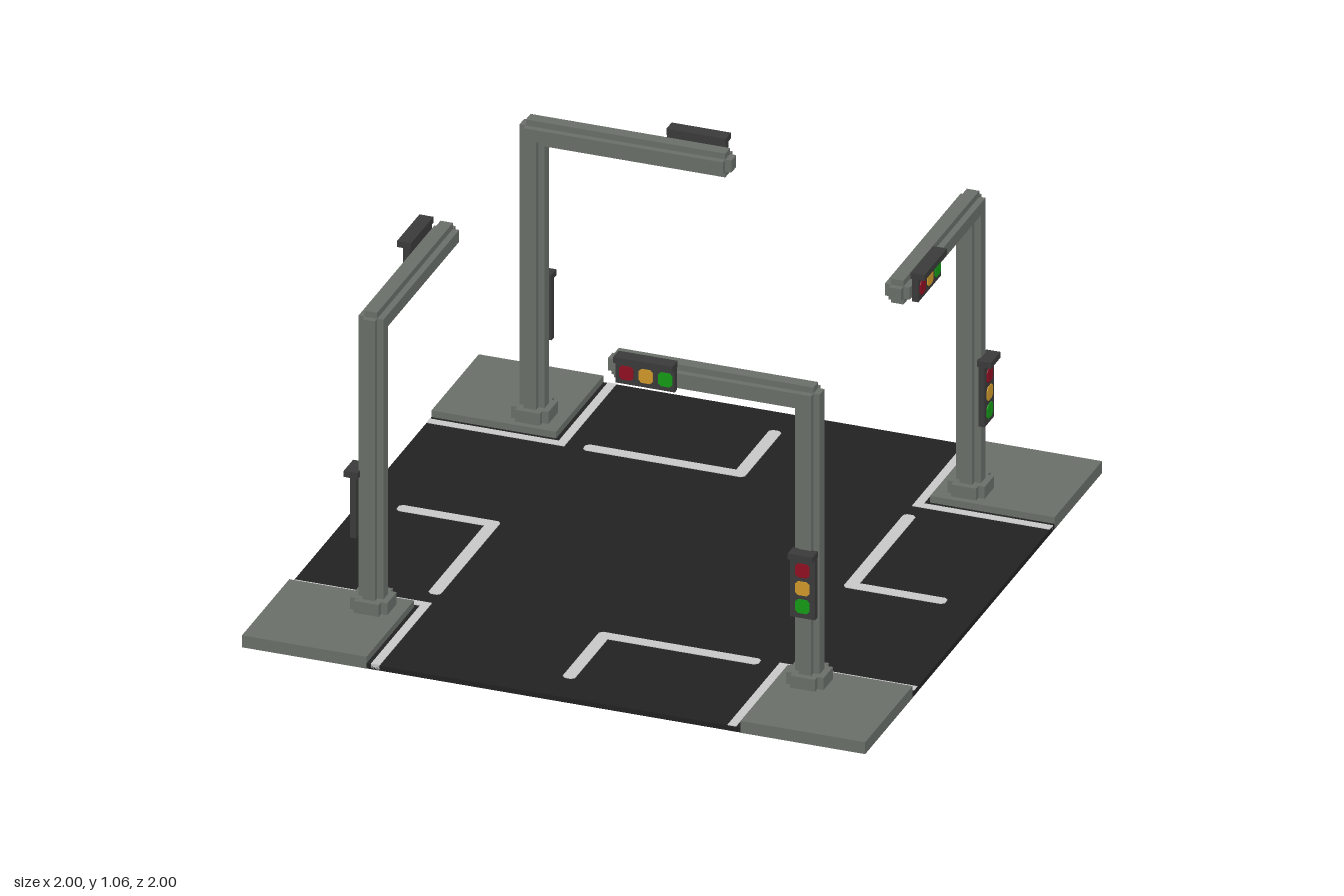
import * as THREE from 'three';

const mat = (name, color) => Object.assign(new THREE.MeshStandardMaterial({ color }), { name });

export function createModel() {
  const asphalt = mat('asphalt', 0x222222);
  const paint = mat('road paint', 0xc8c8c8);
  const stone = mat('grey stone and steel', 0x696f69);
  const dark = mat('dark housing', 0x393a39);
  const lampMats = [mat('red lamp', 0x900f22), mat('amber lamp', 0xd0992a), mat('green lamp', 0x149a16)];

  const model = new THREE.Group();
  model.name = 'crossroads';

  const add = (parent, name, geometry, material) => {
    const mesh = new THREE.Mesh(geometry, material);
    mesh.name = name;
    parent.add(mesh);
    return mesh;
  };
  // Box given by its lower and upper corners
  const box = (parent, name, material, a, b) => {
    const mesh = add(parent, name, new THREE.BoxGeometry(b[0] - a[0], b[1] - a[1], b[2] - a[2]), material);
    mesh.position.set((a[0] + b[0]) / 2, (a[1] + b[1]) / 2, (a[2] + b[2]) / 2);
    return mesh;
  };
  const outline = (points) => new THREE.Shape(points.map(([x, y]) => new THREE.Vector2(x, y)));
  const extrude = (shape, depth) => new THREE.ExtrudeGeometry(shape, { depth, bevelEnabled: false });
  // Flat slab from an outline in x and z, rising from y0 to y1
  const slab = (points, y0, y1) =>
    extrude(outline(points.map(([x, z]) => [x, -z])), y1 - y0).rotateX(-Math.PI / 2).translate(0, y0, 0);
  // Square with a step cut from each corner
  const stepped = (half, step) => {
    const i = half - step;
    return outline([
      [-i, -half], [i, -half], [i, -i], [half, -i], [half, i], [i, i],
      [i, half], [-i, half], [-i, i], [-half, i], [-half, -i], [-i, -i],
    ]);
  };

  // Road surface in the shape of a cross
  const e = 0.6;
  add(model, 'road', slab([
    [-e, -1], [e, -1], [e, -e], [1, -e], [1, e], [e, e],
    [e, 1], [-e, 1], [-e, e], [-1, e], [-1, -e], [-e, -e],
  ], 0.001, 0.018), asphalt);

  // Small rounded square lens
  const lens = () => {
    const h = 0.023, c = 0.009;
    return extrude(outline([
      [-h + c, -h], [h - c, -h], [h, -h + c], [h, h - c],
      [h - c, h], [-h + c, h], [-h, h - c], [-h, -h + c],
    ]), 0.004);
  };
  // Three lamps along a row, facing +z
  const lamps = (parent, at) => lampMats.forEach((m, i) => {
    const [x, y] = at(i);
    add(parent, 'lamp', lens(), m).position.set(x, y, 0.059);
  });

  const corners = [[1, 1], [-1, 1], [-1, -1], [1, -1]];
  corners.forEach(([sx, sz], k) => {
    // Ground parts of this quarter
    const quarter = new THREE.Group();
    quarter.name = 'roadQuarter';
    quarter.rotation.y = -k * Math.PI / 2;
    model.add(quarter);
    box(quarter, 'pavement', stone, [0.6, 0, 0.6], [1, 0.04, 1]);
    add(quarter, 'edgeLine', slab([
      [0.558, 0.558], [1, 0.558], [1, 0.586], [0.586, 0.586], [0.586, 1], [0.558, 1],
    ], 0, 0.02), paint);
    add(quarter, 'stopLine', slab([
      [-0.02, 0.565], [-0.01, 0.555], [0.49, 0.555], [0.5, 0.565], [0.5, 0.585], [0.49, 0.595],
      [0.02, 0.595], [0.02, 0.87], [0.01, 0.88], [-0.01, 0.88], [-0.02, 0.87],
    ], 0, 0.02), paint);

    // Signal mast: arm along -x, lamps towards +z
    const mast = new THREE.Group();
    mast.name = 'signalMast';
    mast.position.set(sx * 0.7, 0, sz * 0.68);
    mast.rotation.y = -k * Math.PI / 2;
    model.add(mast);
    const upright = (half, y0, y1) => extrude(stepped(half, 0.02), y1 - y0).rotateX(-Math.PI / 2).translate(0, y0, 0);
    add(mast, 'mastBase', upright(0.06, 0.04, 0.08), stone);
    add(mast, 'pole', upright(0.04, 0.08, 1.02), stone);
    add(mast, 'arm', extrude(stepped(0.04, 0.02), 0.64).rotateY(Math.PI / 2).translate(-0.62, 1, 0), stone);
    box(mast, 'armTip', stone, [-0.64, 0.98, -0.02], [-0.62, 1.02, 0.02]);

    // Upper signal, lying along the arm
    box(mast, 'armSignalHousing', dark, [-0.6, 0.965, 0.04], [-0.41, 1.045, 0.06]);
    box(mast, 'armSignalVisor', dark, [-0.6, 1.04, 0.035], [-0.41, 1.06, 0.08]);
    lamps(mast, (i) => [-0.565 + i * 0.0625, 1.003]);

    // Lower signal, upright on the pole
    box(mast, 'poleSignalHousing', dark, [-0.04, 0.28, 0.04], [0.04, 0.485, 0.06]);
    box(mast, 'poleSignalVisor', dark, [-0.04, 0.48, 0.035], [0.04, 0.5, 0.08]);
    lamps(mast, (i) => [0, 0.44 - i * 0.06]);
  });

  return model;
}
